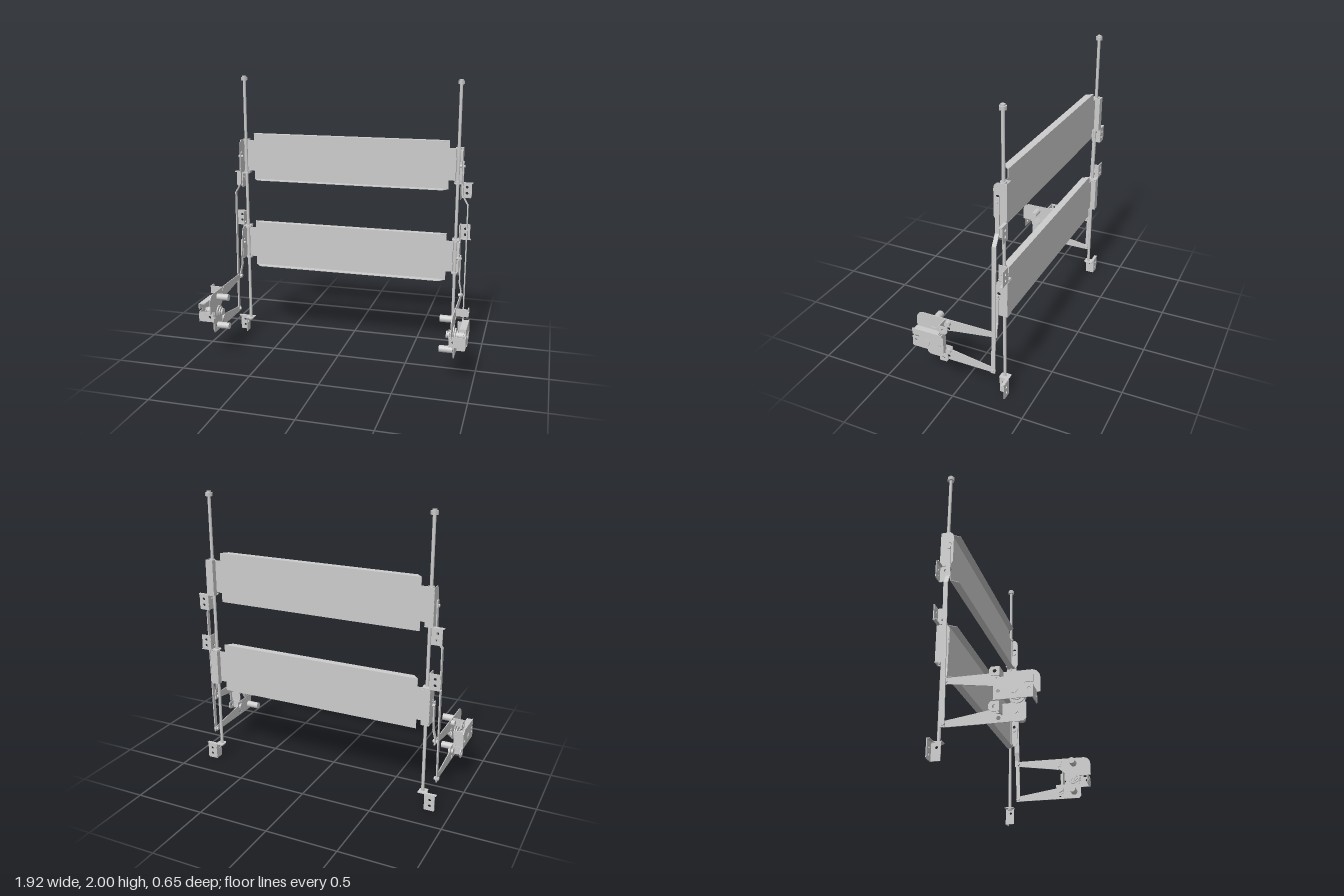
import * as THREE from 'three';

const material = new THREE.MeshStandardMaterial({ color: 0xcccccc, side: THREE.DoubleSide });
const T = 0.006; // sheet thickness

function outline(points, holes = []) {
  const shape = new THREE.Shape(points.map(([a, b]) => new THREE.Vector2(a, b)));
  for (const [a, b, r] of holes) {
    const hole = new THREE.Path();
    hole.absarc(a, b, r, 0, Math.PI * 2, true);
    shape.holes.push(hole);
  }
  return shape;
}

// Sheet facing z, outlined in (x, y)
function sheetZ(points, z, holes, t = T) {
  const g = new THREE.ExtrudeGeometry(outline(points, holes), { depth: t, bevelEnabled: false, curveSegments: 8 });
  return g.translate(0, 0, z - t / 2);
}

// Sheet facing x, outlined in (z, y)
function sheetX(points, x, holes, t = T) {
  return sheetZ(points, 0, holes, t).rotateY(-Math.PI / 2).translate(x, 0, 0);
}

// Sheet facing y, outlined in (x, z)
function sheetY(points, y, holes, t = T) {
  return sheetZ(points, 0, holes, t).rotateX(Math.PI / 2).translate(0, y, 0);
}

const rect = (a0, a1, b0, b1) => [[a0, b0], [a1, b0], [a1, b1], [a0, b1]];

function box(x0, x1, y0, y1, z0, z1) {
  return new THREE.BoxGeometry(x1 - x0, y1 - y0, z1 - z0)
    .translate((x0 + x1) / 2, (y0 + y1) / 2, (z0 + z1) / 2);
}

function rodX(x0, x1, y, z, r, sides = 24) {
  return new THREE.CylinderGeometry(r, r, x1 - x0, sides).rotateZ(Math.PI / 2).translate((x0 + x1) / 2, y, z);
}

function rodY(x, z, y0, y1, r, sides = 20) {
  return new THREE.CylinderGeometry(r, r, y1 - y0, sides).translate(x, (y0 + y1) / 2, z);
}

// Strip following a path in (x, y), leaning back as it rises
function bar(path, width) {
  const h = 0.004;
  const pts = [...path.map(([x, y]) => [x + h, y]), ...path.slice().reverse().map(([x, y]) => [x - h, y])];
  const g = sheetZ(pts, -0.24, [], width);
  const p = g.attributes.position;
  for (let i = 0; i < p.count; i++) p.setZ(i, p.getZ(i) - 0.02 * (p.getY(i) - 0.2));
  g.computeVertexNormals();
  return g;
}

// Mirrored copy with its winding put right
function mirrored(geometry) {
  const g = geometry.index ? geometry.toNonIndexed() : geometry.clone();
  g.scale(-1, 1, 1);
  for (const a of Object.values(g.attributes)) {
    for (let i = 0; i < a.count; i += 3) {
      for (let k = 0; k < a.itemSize; k++) {
        const v = a.getComponent(i + 1, k);
        a.setComponent(i + 1, k, a.getComponent(i + 2, k));
        a.setComponent(i + 2, k, v);
      }
    }
  }
  return g;
}

export function createModel() {
  const model = new THREE.Group();
  model.name = 'liftingPanelFrame';
  const left = new THREE.Group();
  const right = new THREE.Group();
  left.name = 'leftSide';
  right.name = 'rightSide';
  model.add(left, right);

  const mesh = (parent, name, geometry) => {
    const m = new THREE.Mesh(geometry, material);
    m.name = name;
    parent.add(m);
  };
  const pair = (name, geometry) => {
    mesh(left, name, geometry);
    mesh(right, name, mirrored(geometry));
  };

  // Panels with folded lips and sliding end channels
  for (const y of [0.56, 1.23]) {
    const half = [[0.73, 0], [0.73, 0.065], [0.778, 0.065], [0.778, 0.295], [0.73, 0.295], [0.73, 0.35]];
    const face = [...half, ...half.slice().reverse().map(([x, v]) => [-x, v])].map(([x, v]) => [x, v + y]);
    mesh(model, 'panel', sheetZ(face, -0.283, [], 0.004));
    for (const edge of [y + 0.002, y + 0.348]) {
      mesh(model, 'panelLip', sheetY([[-0.73, -0.284], [0.73, -0.284], [0.69, -0.236], [-0.69, -0.236]], edge, [], 0.004));
    }
    const b = y + 0.05, t = y + 0.3;
    pair('channelInner', box(0.772, 0.777, b, t, -0.32, -0.281));
    pair('channelBack', box(0.772, 0.828, b, t, -0.322, -0.317));
    pair('channelOuter', sheetX([[-0.32, b], [-0.25, b], [-0.235, b + 0.03], [-0.235, t - 0.04],
      [-0.24, t - 0.018], [-0.258, t], [-0.32, t]], 0.826, [[-0.262, b + 0.16, 0.012]], 0.005));
    pair('channelPin', rodX(0.81, 0.846, y + 0.175, -0.26, 0.01));
    for (const v of [b + 0.006, t - 0.006]) pair('guideBush', rodY(0.795, -0.285, v - 0.006, v + 0.006, 0.02));
  }

  // Guide rods with end nuts
  pair('guideRod', rodY(0.795, -0.285, 0.1, 1.99, 0.011));
  pair('topNut', rodY(0.795, -0.285, 1.966, 1.99, 0.025, 6));
  pair('topStud', rodY(0.795, -0.285, 1.985, 2, 0.015));
  pair('bottomNut', rodY(0.795, -0.285, 0.1, 0.113, 0.017, 6));

  // Wall brackets holding the rods: [free end, shelf end]
  for (const [free, shelf] of [[0, 0.115], [0.977, 0.868], [1.168, 1.278]]) {
    const d = Math.sign(shelf - free);
    const y0 = Math.min(free, shelf), y1 = Math.max(free, shelf);
    pair('bracketShelf', sheetY([[0.77, -0.322], [0.9, -0.322], [0.9, -0.302], [0.83, -0.302],
      [0.825, -0.255], [0.78, -0.255], [0.77, -0.27]], shelf, [[0.795, -0.285, 0.0105]]));
    pair('bracketBack', sheetZ([[0.82, y0], [0.885, y0], [0.892, y0 + 0.007], [0.892, y1], [0.82, y1]], -0.321,
      [[0.858, free + d * 0.035, 0.01], [0.858, free + d * 0.078, 0.01]]));
    pair('bracketSide', sheetX(rect(-0.323, -0.26, y0, y1), 0.822, [[-0.285, free + d * 0.08, 0.009]]));
  }

  // Lift bars from the arms up to the panels
  pair('longLiftBar', bar([[0.875, 0.18], [0.875, 1.13], [0.834, 1.2], [0.834, 1.44]], 0.028));
  pair('shortLiftBar', bar([[0.852, 0.45], [0.852, 0.5], [0.838, 0.56], [0.838, 0.76]], 0.028));
  pair('lowerBarPin', rodX(0.855, 0.888, 0.2, -0.235, 0.012));
  pair('upperBarPin', rodX(0.835, 0.866, 0.47, -0.235, 0.012));

  // Swing arms
  pair('upperArm', sheetX([[-0.225, 0.45], [0.05, 0.41], [0.1, 0.4], [0.16, 0.35], [0.33, 0.35], [0.33, 0.44],
    [0.324, 0.463], [0.31, 0.48], [0.285, 0.49], [-0.225, 0.49], [-0.245, 0.48], [-0.245, 0.458]],
  0.856, [[0.09, 0.418, 0.012]]));
  pair('lowerArm', sheetX([[-0.235, 0.18], [0.235, 0.18], [0.25, 0.195], [0.25, 0.29], [0.06, 0.29], [0.06, 0.263],
    [-0.225, 0.22], [-0.25, 0.215], [-0.255, 0.195]], 0.868, [[0.2, 0.225, 0.01], [0.09, 0.207, 0.012]]));

  // Pivot housing
  pair('housingPlate', sheetX([[0.31, 0.285], [0.31, 0.36], [0.26, 0.36], [0.26, 0.375], [0.31, 0.375], [0.31, 0.42],
    [0.11, 0.42], [0.08, 0.395], [0.08, 0.285]], 0.95,
  [[0.285, 0.335, 0.01], [0.11, 0.335, 0.01], [0.2, 0.335, 0.014]]));
  pair('housingFrontFlange', sheetZ(rect(0.84, 0.952, 0.287, 0.36), 0.304, [[0.87, 0.323, 0.01]]));
  pair('housingRearFlange', box(0.875, 0.95, 0.287, 0.4, 0.105, 0.111));
  pair('housingTopFlange', box(0.91, 0.95, 0.414, 0.42, 0.12, 0.3));

  // Arm tabs, bushes and handles
  for (const [y0, y1, pin, handle] of [[0.437, 0.492, 0.465, 0.446], [0.222, 0.282, 0.25, 0.228]]) {
    pair('armTab', box(0.862, 0.945, y0, y1, 0.108, 0.114));
    pair('armTabSide', sheetX([[0.114, y0], [0.065, y0], [0.052, y0 + 0.015], [0.052, y1 - 0.015], [0.065, y1], [0.114, y1]],
      0.942, [[0.085, pin, 0.011]]));
    pair('armBush', rodX(0.85, 0.885, pin, 0.09, 0.02));
    pair('handle', rodX(0.765, 0.858, handle, 0.2, 0.024));
  }

  // Pivot shaft with its stack of washers
  pair('pivotShaft', rodX(0.81, 0.955, 0.335, 0.2, 0.017));
  pair('pivotNut', rodX(0.935, 0.958, 0.335, 0.2, 0.022, 6));
  pair('pivotSleeve', rodX(0.88, 0.93, 0.335, 0.2, 0.024));
  for (const [x, r] of [[0.815, 0.026], [0.83, 0.034], [0.843, 0.045], [0.874, 0.05], [0.888, 0.035]]) {
    pair('pivotWasher', rodX(x - 0.004, x + 0.004, 0.335, 0.2, r));
  }
  pair('pivotLug', sheetX([[0.16, 0.29], [0.24, 0.29], [0.25, 0.36], [0.22, 0.4], [0.18, 0.4], [0.15, 0.36]], 0.862));

  return model;
}
